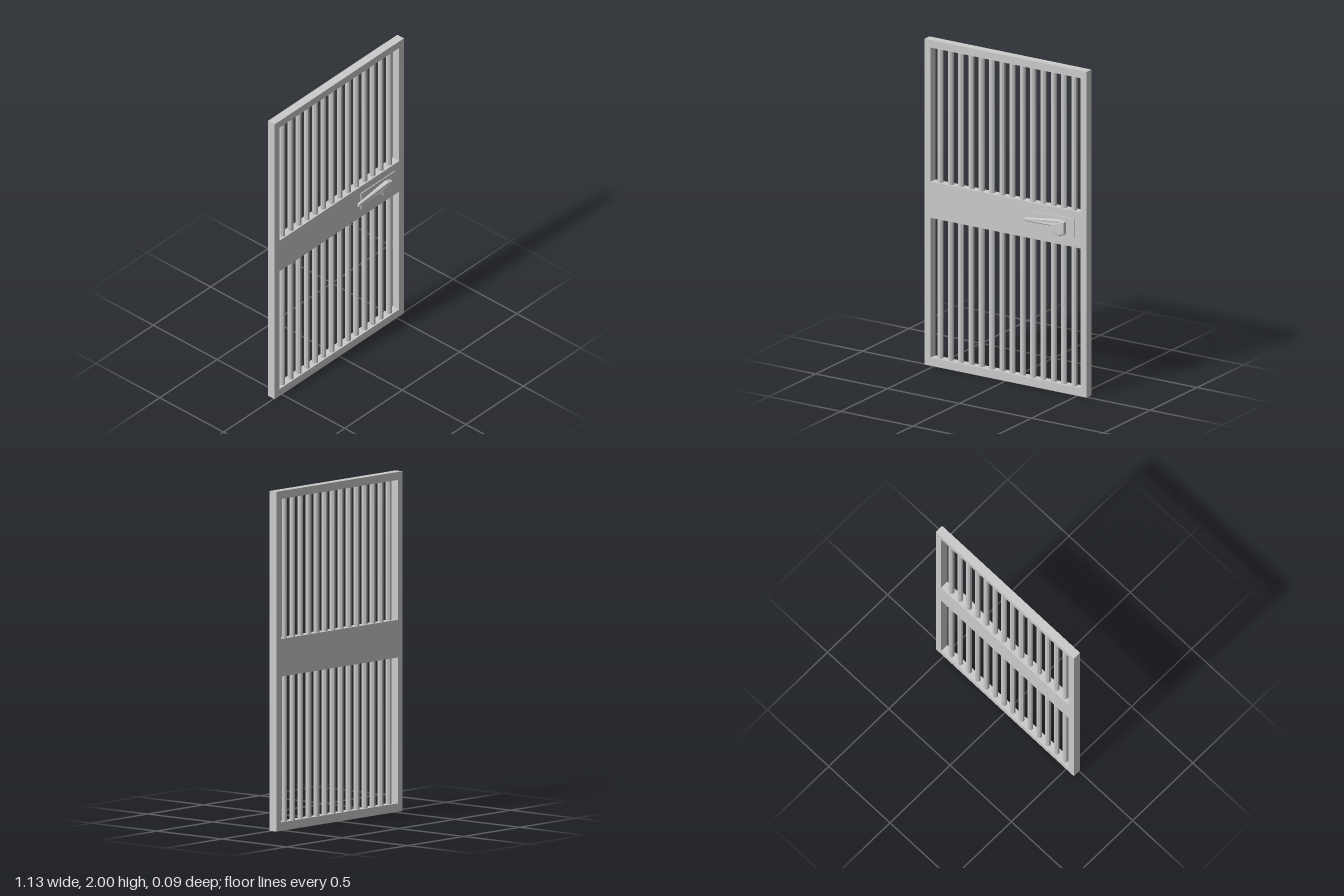
import * as THREE from 'three';

const material = new THREE.MeshStandardMaterial({ color: 0xcccccc, flatShading: true });
const BACK = -0.044, FACE = 0.008;

function add(parent, name, geometry, x = 0, y = 0, z = 0) {
  const mesh = new THREE.Mesh(geometry, material);
  mesh.name = name;
  mesh.position.set(x, y, z);
  parent.add(mesh);
  return mesh;
}

const polygon = (points) => points.map(([x, y]) => new THREE.Vector2(x, y));
const rectangle = (x0, y0, x1, y1) => polygon([[x0, y0], [x1, y0], [x1, y1], [x0, y1]]);

export function createModel() {
  const door = new THREE.Group();
  door.name = 'barredDoor';

  // Frame with the lock band between two openings
  const frame = new THREE.Shape(rectangle(-0.563, 0, 0.563, 2));
  const openings = [[0.05, 0.908], [1.13, 1.953]];
  for (const [bottom, top] of openings) {
    frame.holes.push(new THREE.Path(rectangle(-0.521, bottom, 0.521, top).reverse()));
  }
  add(door, 'frame', new THREE.ExtrudeGeometry(frame, { depth: FACE - BACK, bevelEnabled: false }), 0, 0, BACK);

  // Eight-sided bars, flat side to the front
  const bars = new THREE.Group();
  bars.name = 'bars';
  door.add(bars);
  for (const [bottom, top] of openings) {
    const bar = new THREE.CylinderGeometry(0.018, 0.018, top - bottom, 8, 1, true).rotateY(Math.PI / 8);
    for (let i = 0; i < 14; i++) {
      add(bars, 'bar', bar, -0.469 + i * 0.0716, (bottom + top) / 2, (BACK + FACE) / 2);
    }
  }

  // Lock plate
  add(door, 'lockPlate', new THREE.BoxGeometry(0.296, 0.116, 0.007), 0.334, 1.024, FACE + 0.0025);

  // Lever handle with chamfered edges, thinning towards its tip
  const outline = new THREE.Shape(polygon([
    [0.146, 1.016], [0.335, 1.023], [0.353, 0.985], [0.388, 0.968],
    [0.426, 0.983], [0.426, 1.058], [0.39, 1.068], [0.146, 1.036],
  ]));
  const handle = new THREE.ExtrudeGeometry(outline, {
    depth: 0.018, bevelThickness: 0.006, bevelSize: 0.005, bevelOffset: -0.005, bevelSegments: 1,
  });
  handle.translate(0, 0, 0.006);
  const p = handle.attributes.position;
  for (let i = 0; i < p.count; i++) {
    const t = THREE.MathUtils.clamp((0.34 - p.getX(i)) / 0.194, 0, 1);
    p.setZ(i, 0.014 + 0.003 * t + p.getZ(i) * (1 - 0.45 * t));
  }
  handle.computeVertexNormals();
  add(door, 'leverHandle', handle);

  return door;
}
